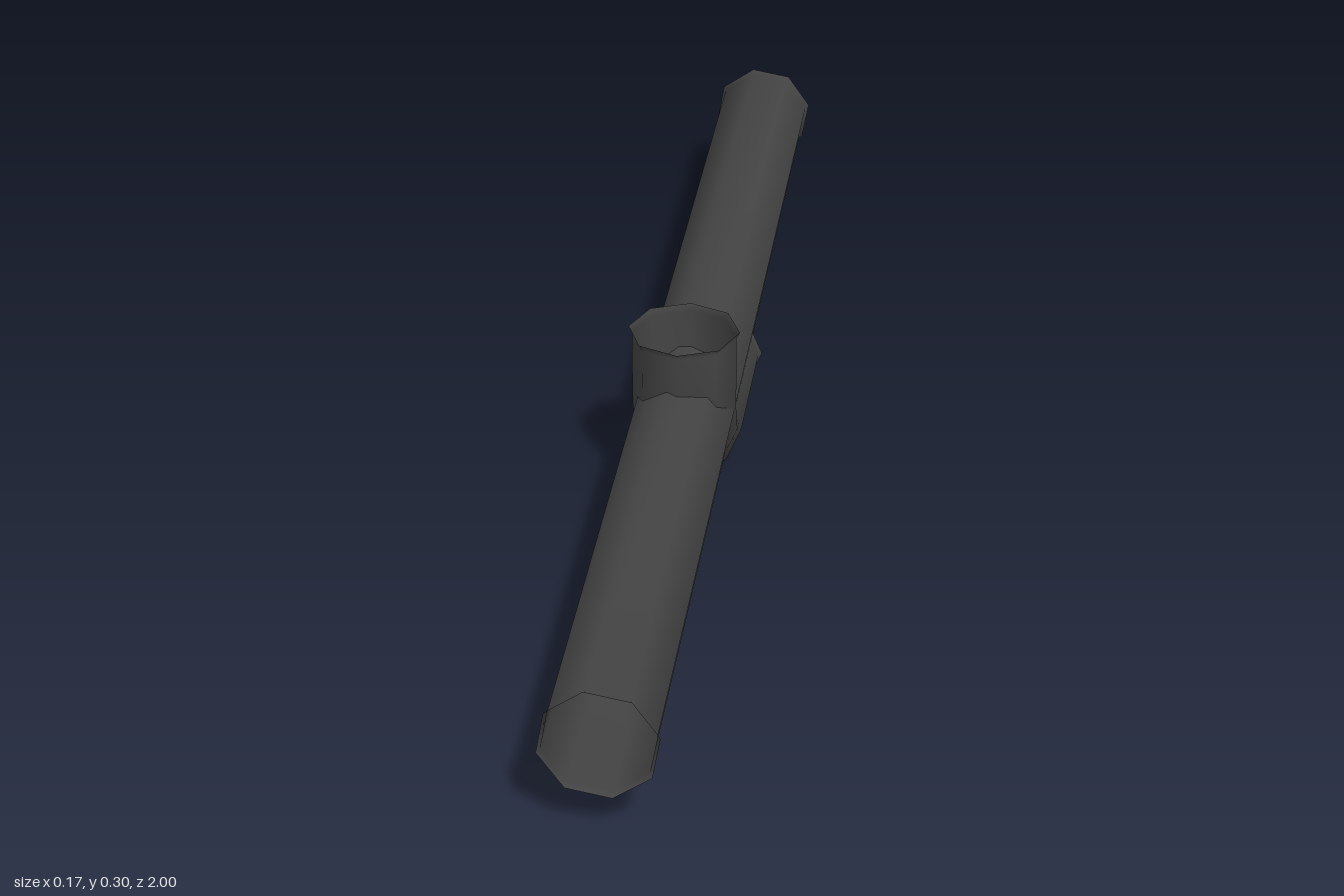
import * as THREE from 'three';

const SIDES = 8;
const BODY = 0.08, LIP = 0.085, LIP_LENGTH = 0.01;

// Open octagonal pipe through rings [y, z, radius, heading]; heading is degrees from +z towards +y.
function pipe(name, rings, phase, material) {
  const positions = [], index = [];
  rings.forEach(([y, z, r, heading], i) => {
    const h = THREE.MathUtils.degToRad(heading);
    for (let j = 0; j < SIDES; j++) {
      const a = THREE.MathUtils.degToRad(phase) + (j / SIDES) * Math.PI * 2;
      const u = r * Math.cos(a), v = r * Math.sin(a);
      positions.push(u, y + v * Math.cos(h), z - v * Math.sin(h));
      if (i === rings.length - 1) continue;
      const p = i * SIDES + j, q = i * SIDES + ((j + 1) % SIDES);
      index.push(p, q, q + SIDES, p, q + SIDES, p + SIDES);
    }
  });
  const geometry = new THREE.BufferGeometry();
  geometry.setAttribute('position', new THREE.Float32BufferAttribute(positions, 3));
  geometry.setIndex(index);
  geometry.computeVertexNormals();
  const mesh = new THREE.Mesh(geometry, material);
  mesh.name = name;
  return mesh;
}

export function createModel() {
  const group = new THREE.Group();
  group.name = 'pipeJunction';
  const metal = new THREE.MeshStandardMaterial({ color: 0x444444, side: THREE.DoubleSide });
  metal.name = 'dark grey metal';

  // Long straight pipe with a small flared lip at each end
  const mainY = 0.152;
  group.add(pipe('mainPipe', [
    [mainY, -1, LIP, 0],
    [mainY, -1 + LIP_LENGTH, BODY, 0],
    [mainY, 1 - LIP_LENGTH, BODY, 0],
    [mainY, 1, LIP, 0],
  ], 12.5, metal));

  // Elbow pipe: drops through the main pipe, then bends towards the back
  const dropZ = 0.12, lowY = 0.088;
  group.add(pipe('elbowPipe', [
    [0.3, dropZ, LIP, 270],
    [0.3 - LIP_LENGTH, dropZ, BODY, 270],
    [0.17, dropZ, BODY, 270],
    [0.12, 0.1, BODY, 225],
    [lowY, 0.045, BODY, 180],
    [lowY, -0.205 + LIP_LENGTH, BODY, 180],
    [lowY, -0.205, LIP, 180],
  ], 0, metal));

  return group;
}
